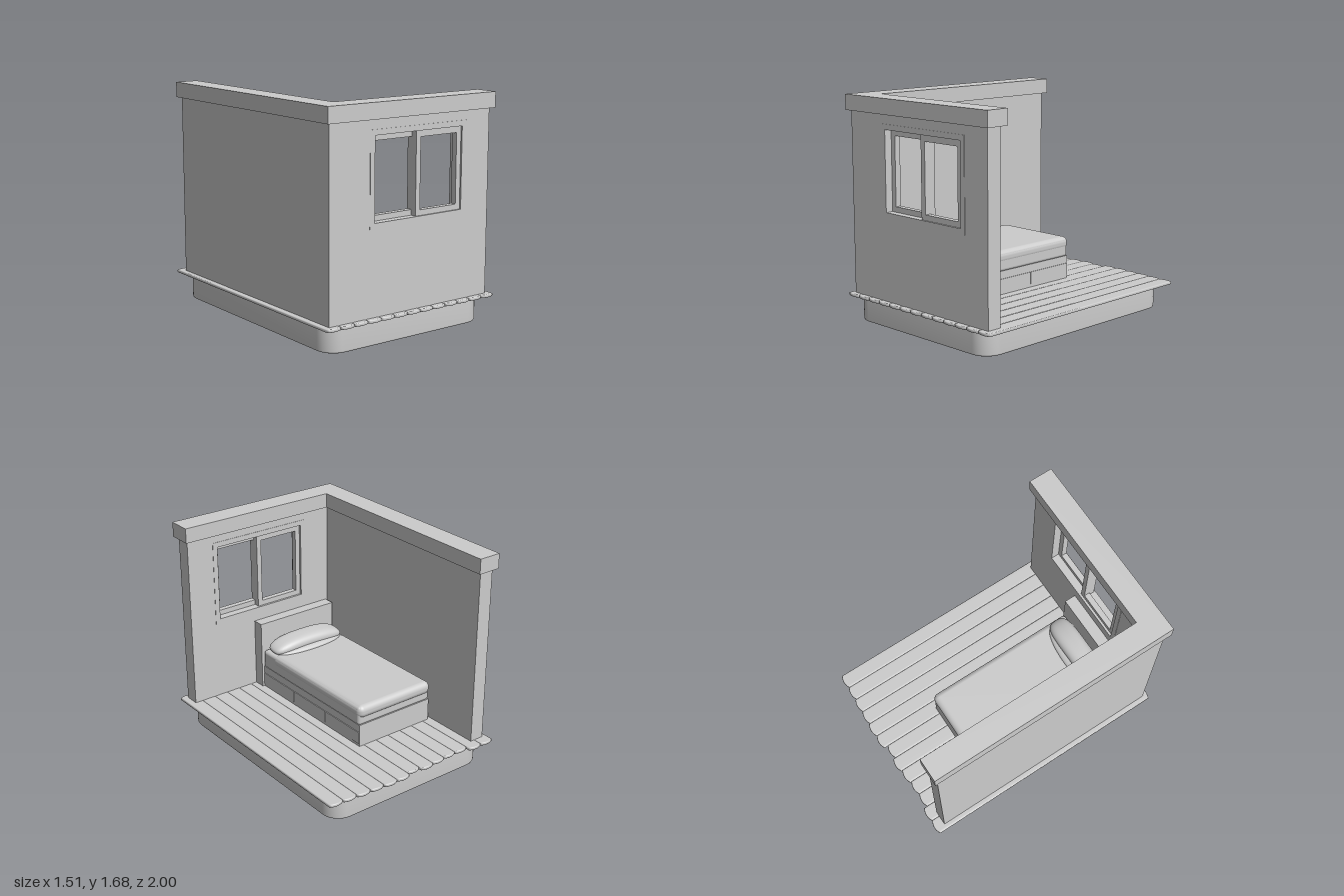
import * as THREE from 'three';
import { mergeVertices } from 'three/addons/utils/BufferGeometryUtils.js';
import { RoundedBoxGeometry } from 'three/addons/geometries/RoundedBoxGeometry.js';

export function createModel() {
  const room = new THREE.Group();
  room.name = 'bedroomCorner';
  const grey = new THREE.MeshStandardMaterial({ color: 0xcccccc });

  const add = (name, geometry, parent = room) => {
    const mesh = new THREE.Mesh(geometry, grey);
    mesh.name = name;
    parent.add(mesh);
    return mesh;
  };
  // Box given by its limits on each axis
  const box = (name, [x0, x1], [y0, y1], [z0, z1], parent, radius = 0) => {
    const size = [x1 - x0, y1 - y0, z1 - z0];
    const geo = radius ? new RoundedBoxGeometry(...size, 5, radius) : new THREE.BoxGeometry(...size);
    geo.translate((x0 + x1) / 2, (y0 + y1) / 2, (z0 + z1) / 2);
    return add(name, geo, parent);
  };
  const rect = (x0, x1, y0, y1, Type = THREE.Shape) =>
    new Type([[x0, y0], [x1, y0], [x1, y1], [x0, y1]].map(p => new THREE.Vector2(...p)));
  // Rectangular panel in the xy plane with one rectangular opening
  const panel = (name, outer, inner, z0, z1, parent) => {
    const shape = rect(...outer);
    shape.holes.push(rect(...inner, THREE.Path));
    const geo = new THREE.ExtrudeGeometry(shape, { depth: z1 - z0, bevelEnabled: false });
    return add(name, geo.translate(0, 0, z0), parent);
  };
  // Plan outline in [x, z], extruded upwards with a soft edge
  const slab = (points, y0, y1, bevel = 0) => {
    const shape = new THREE.Shape(points.map(([x, z]) => new THREE.Vector2(x, -z)));
    const geo = new THREE.ExtrudeGeometry(shape, {
      depth: y1 - y0 - 2 * bevel, bevelEnabled: bevel > 0, bevelSize: bevel,
      bevelThickness: bevel, bevelOffset: -bevel, bevelSegments: 2,
    });
    return geo.rotateX(-Math.PI / 2).translate(0, y0 + bevel, 0);
  };
  const smooth = geo => {
    geo.deleteAttribute('uv');
    geo.deleteAttribute('normal');
    const merged = mergeVertices(geo, 1e-4);
    merged.computeVertexNormals();
    return merged;
  };

  // Plinth with rounded corners
  const r = 0.14, corners = [];
  [[0.685 - r, 0.955 - r], [0.685 - r, -0.92 + r], [-0.715 + r, -0.92 + r], [-0.715 + r, 0.955 - r]]
    .forEach(([cx, cz], i) => {
      for (let k = 0; k <= 8; k++) {
        const a = -Math.PI / 2 + (i + k / 8) * Math.PI / 2;
        corners.push([cx + r * Math.cos(a), cz - r * Math.sin(a)]);
      }
    });
  add('plinth', smooth(slab(corners, 0, 0.185, 0.015)));

  // Floor planks with curved ends of uneven length
  const floor = new THREE.Group();
  floor.name = 'floor';
  room.add(floor);
  const backEnds = [1, 1, 0.97, 0.97, 0.98, 0.99, 0.97, 1, 1, 0.99, 0.985, 0.975, 0.97];
  const width = 1.508 / backEnds.length;
  backEnds.forEach((end, i) => {
    const x0 = -0.754 + i * width, outline = [];
    for (let k = 0; k <= 8; k++) {
      const t = k / 8;
      outline.push([x0 + t * width, 1 - 0.014 * (2 * t - 1) ** 2]);
    }
    for (let k = 8; k >= 0; k--) {
      const t = k / 8;
      outline.push([x0 + t * width, -end + 0.016 * (2 * t - 1) ** 2]);
    }
    add('plank', smooth(slab(outline, 0.178, 0.202, 0.007)), floor);
  });

  // Walls and the L-shaped coping
  box('sideWall', [-0.715, -0.6], [0.2, 1.566], [-0.92, 0.955]);
  panel('windowWall', [-0.6, 0.705, 0.2, 1.566], [-0.375, 0.485, 0.82, 1.495], 0.84, 0.955);
  add('coping', slab([[-0.745, 0.985], [0.735, 0.985], [0.735, 0.8], [-0.565, 0.8],
    [-0.565, -0.95], [-0.745, -0.95]], 1.565, 1.68));

  // Sliding window: outer frame and two overlapping sashes
  const win = new THREE.Group();
  win.name = 'window';
  room.add(win);
  panel('windowFrame', [-0.375, 0.485, 0.82, 1.495], [-0.335, 0.445, 0.86, 1.455], 0.837, 0.958, win);
  panel('outerSash', [0.035, 0.445, 0.86, 1.455], [0.075, 0.405, 0.9, 1.41], 0.9, 0.945, win);
  panel('innerSash', [-0.335, 0.075, 0.86, 1.455], [-0.295, 0.035, 0.9, 1.41], 0.855, 0.9, win);

  // Bed
  const bed = new THREE.Group();
  bed.name = 'bed';
  room.add(bed);
  box('headboard', [-0.585, 0.125], [0.2, 0.75], [0.75, 0.84], bed);
  box('bedBase', [-0.57, 0.105], [0.2, 0.38], [-0.472, 0.75], bed);
  for (let i = 0; i < 3; i++) {
    const z = -0.47 + i * 0.406;
    box('drawerFront', [0.1, 0.111], [0.225, 0.32], [z + 0.003, z + 0.402], bed);
  }
  box('mattress', [-0.572, 0.112], [0.375, 0.525], [-0.472, 0.745], bed, 0.025);
  box('blanket', [-0.577, 0.115], [0.43, 0.532], [-0.487, 0.62], bed, 0.045);

  // Pillow: a sphere squared off in plan, thin at its seam, sagging to the ends
  const pillow = new THREE.SphereGeometry(1, 40, 24);
  const p = pillow.attributes.position;
  const square = v => Math.sign(v) * Math.abs(v) ** 0.6;
  for (let i = 0; i < p.count; i++) {
    const x = square(p.getX(i)), y = p.getY(i), z = square(p.getZ(i));
    p.setXYZ(i, 0.325 * x, 0.06 * y - 0.025 * x * x + 0.012, 0.095 * z * (1 + 0.1 * x * x));
  }
  const pillowMesh = add('pillow', smooth(pillow), bed);
  pillowMesh.position.set(-0.23, 0.565, 0.645);
  pillowMesh.rotation.x = -0.12;

  // Fold of bedding rising towards the pillow
  const fold = new THREE.SphereGeometry(1, 32, 16).scale(0.3, 0.035, 0.08);
  add('beddingFold', fold, bed).position.set(-0.23, 0.532, 0.59);

  return room;
}
